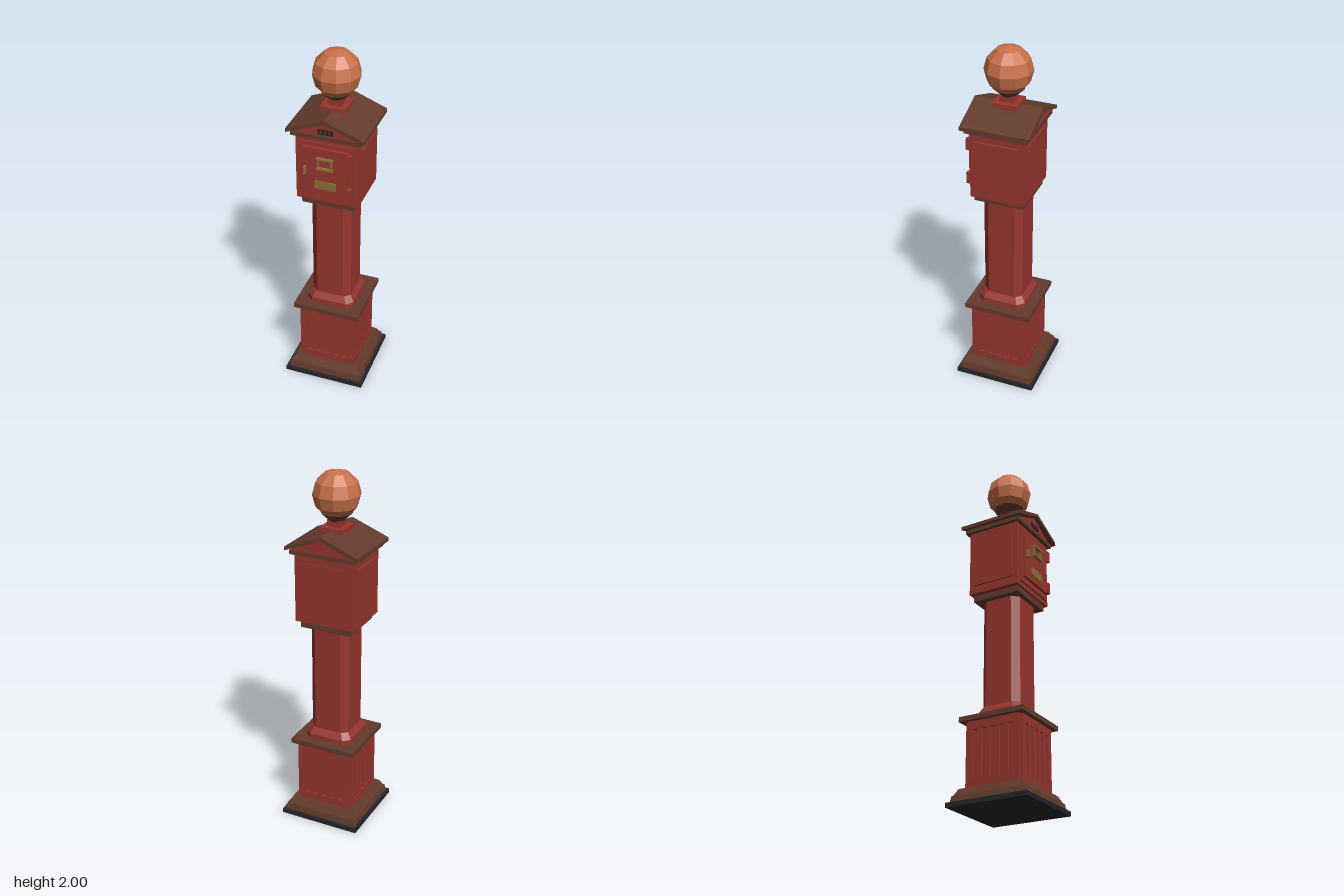
import * as THREE from 'three';

const mat = (name, color) => {
  const m = new THREE.MeshStandardMaterial({ color });
  m.name = name;
  return m;
};

export function createModel() {
  const red = mat('red paint', 0x98362f);
  const brown = mat('brown trim', 0x643b2d);
  const copper = mat('copper globe', 0xc8714a);
  const black = mat('black', 0x26262a);
  const gold = mat('brass', 0x8f7038);

  const model = new THREE.Group();
  const add = (name, geometry, material, x = 0, y = 0, z = 0, parent = model) => {
    const mesh = new THREE.Mesh(geometry, material);
    mesh.name = name;
    mesh.position.set(x, y, z);
    parent.add(mesh);
    return mesh;
  };
  const faceted = (g) => {
    const f = g.index ? g.toNonIndexed() : g;
    f.computeVertexNormals();
    return f;
  };
  // Box given by half width, half depth and its bottom and top heights
  const block = (name, hx, hz, y0, y1, material) =>
    add(name, new THREE.BoxGeometry(hx * 2, y1 - y0, hz * 2), material, 0, (y0 + y1) / 2, 0);
  // Box given by its front-view rectangle and its depth range
  const plate = (name, x0, x1, y0, y1, z0, z1, material, parent) =>
    add(name, new THREE.BoxGeometry(x1 - x0, y1 - y0, z1 - z0), material,
      (x0 + x1) / 2, (y0 + y1) / 2, (z0 + z1) / 2, parent);
  // Square frustum
  const taper = (name, bottom, top, y0, y1, material) =>
    add(name, faceted(new THREE.CylinderGeometry(top * Math.SQRT2, bottom * Math.SQRT2, y1 - y0, 4, 1, false, Math.PI / 4)),
      material, 0, (y0 + y1) / 2, 0);
  // Square prism with cut corners, optionally narrowing upwards
  const octagon = (name, half, flat, y0, y1, material, topScale = 1) => {
    const s = new THREE.Shape([[half, -flat], [half, flat], [flat, half], [-flat, half],
      [-half, flat], [-half, -flat], [-flat, -half], [flat, -half]].map(([x, y]) => new THREE.Vector2(x, y)));
    const g = new THREE.ExtrudeGeometry(s, { depth: y1 - y0, bevelEnabled: false });
    g.rotateX(-Math.PI / 2);
    const p = g.attributes.position;
    for (let i = 0; i < p.count; i++) {
      if (p.getY(i) > 1e-4) p.setXYZ(i, p.getX(i) * topScale, p.getY(i), p.getZ(i) * topScale);
    }
    return add(name, faceted(g), material, 0, y0, 0);
  };
  const rect = (Type, x0, x1, y0, y1) => new Type([[x0, y0], [x1, y0], [x1, y1], [x0, y1]]
    .map(([x, y]) => new THREE.Vector2(x, y)));
  const extrude = (shape, depth) => new THREE.ExtrudeGeometry(shape, { depth, bevelEnabled: false });

  // Plinth
  block('groundSlab', 0.232, 0.232, 0, 0.025, black);
  taper('plinthLower', 0.217, 0.21, 0.025, 0.062, brown);
  taper('plinthUpper', 0.205, 0.185, 0.062, 0.1, brown);

  // Pedestal with five slots in each side
  block('pedestalCore', 0.155, 0.155, 0.1, 0.455, red);
  const slotted = rect(THREE.Shape, -0.152, 0.152, 0.1, 0.455);
  for (let i = -2; i <= 2; i++) {
    slotted.holes.push(rect(THREE.Path, i * 0.052 - 0.014, i * 0.052 + 0.014, 0.14, 0.41));
  }
  const slottedGeometry = extrude(slotted, 0.016);
  slottedGeometry.translate(0, 0, 0.151);
  for (let i = 0; i < 4; i++) {
    add('slottedPanel', slottedGeometry, red).rotation.y = i * Math.PI / 2;
  }
  block('pedestalCap', 0.19, 0.19, 0.455, 0.482, brown);

  // Column
  octagon('columnFoot', 0.135, 0.1, 0.482, 0.51, red);
  octagon('columnFootTaper', 0.135, 0.1, 0.51, 0.545, red, 0.83);
  octagon('column', 0.112, 0.076, 0.545, 1.16, red);
  block('columnCapital', 0.145, 0.138, 1.155, 1.19, brown);

  // Cabinet with thin panels on the sides and back
  block('cabinet', 0.17, 0.15, 1.19, 1.57, red);
  for (const s of [-1, 1]) {
    add('sidePanel', new THREE.BoxGeometry(0.012, 0.29, 0.24), red, s * 0.175, 1.38, 0);
  }
  plate('backPanel', -0.135, 0.135, 1.235, 1.525, -0.156, -0.149, red);

  // Door with hinges and brass fittings
  const door = new THREE.Group();
  door.name = 'door';
  model.add(door);
  plate('doorSurround', -0.145, 0.145, 1.215, 1.545, 0.149, 0.16, red, door);
  plate('doorLeaf', -0.122, 0.122, 1.245, 1.52, 0.16, 0.175, red, door);
  for (const y of [1.28, 1.48]) plate('hinge', 0.12, 0.142, y - 0.032, y + 0.032, 0.16, 0.184, red, door);
  plate('brassPlate', -0.058, 0.058, 1.283, 1.33, 0.174, 0.18, gold, door);
  for (const y of [1.41, 1.467]) plate('frameRail', -0.045, 0.045, y - 0.005, y + 0.005, 0.174, 0.193, gold, door);
  for (const x of [-0.036, 0.036]) plate('framePost', x - 0.004, x + 0.004, 1.41, 1.467, 0.174, 0.188, gold, door);
  plate('handle', -0.114, -0.102, 1.365, 1.41, 0.174, 0.195, gold, door);

  // Cornice, gable and pitched roof
  block('cornice', 0.19, 0.17, 1.57, 1.592, brown);
  const gable = new THREE.Shape([[-0.185, 1.59], [0.185, 1.59], [0, 1.672]].map(([x, y]) => new THREE.Vector2(x, y)));
  add('gable', extrude(gable, 0.33), red, 0, 0, -0.165);
  const roof = new THREE.Shape([[-0.21, 1.592], [0, 1.672], [0.21, 1.592], [0.21, 1.612], [0, 1.693], [-0.21, 1.612]]
    .map(([x, y]) => new THREE.Vector2(x, y)));
  add('roof', extrude(roof, 0.376), brown, 0, 0, -0.188);
  plate('gableVent', -0.04, 0.04, 1.603, 1.63, 0.164, 0.171, black);
  for (let i = -1; i <= 1; i++) plate('ventBar', i * 0.022 - 0.004, i * 0.022 + 0.004, 1.609, 1.624, 0.17, 0.174, brown);

  // Globe on its neck
  block('finialBase', 0.058, 0.058, 1.66, 1.69, red);
  block('finialStep', 0.068, 0.068, 1.688, 1.704, red);
  block('finialNeck', 0.037, 0.037, 1.704, 1.74, red);
  add('globeCradle', faceted(new THREE.CylinderGeometry(0.086, 0.04, 0.042, 10)), brown, 0, 1.754, 0);
  add('globe', faceted(new THREE.SphereGeometry(0.128, 10, 6)), copper, 0, 1.872, 0);

  return model;
}
